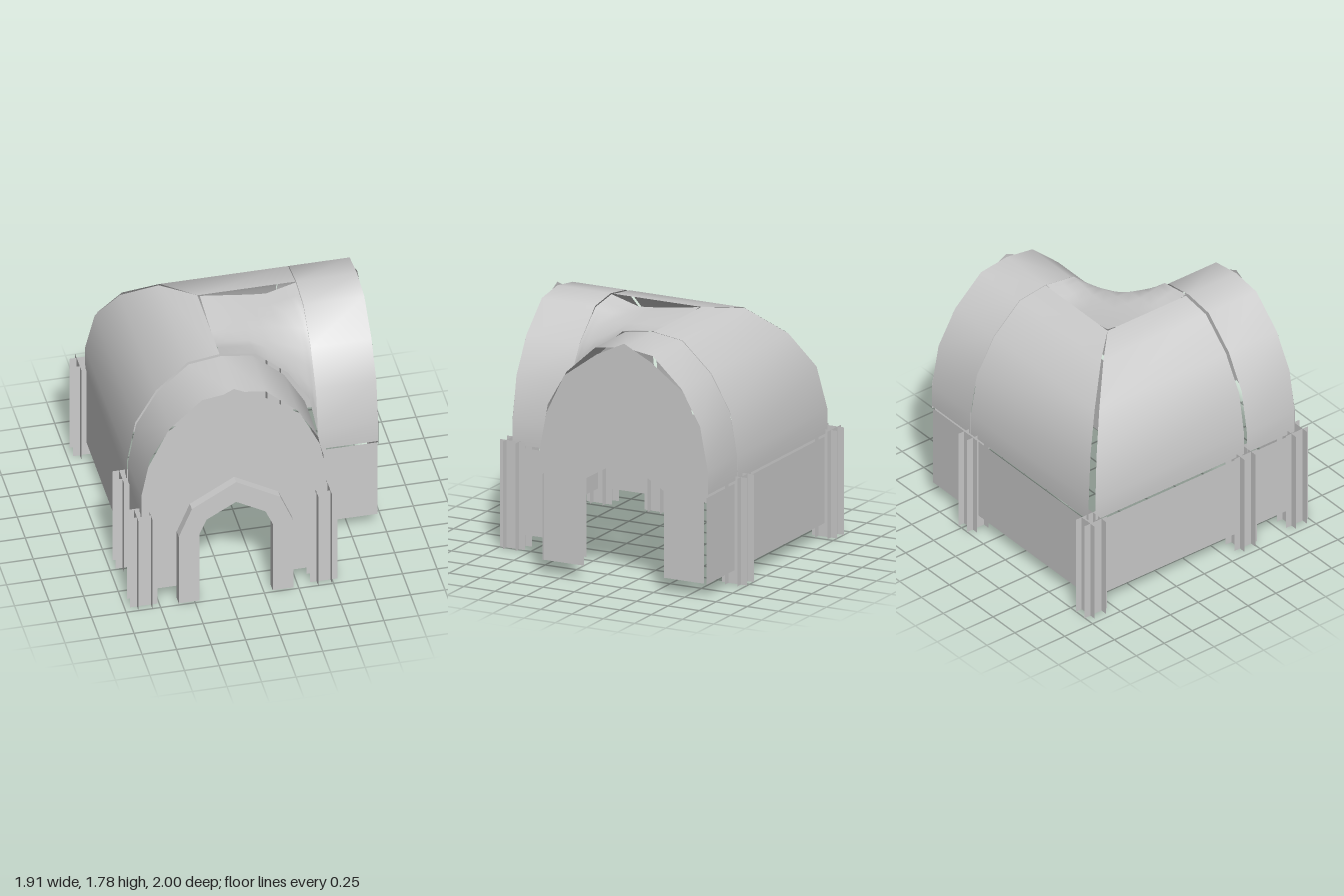
import * as THREE from 'three';

const CX = -0.2, CZ = -0.24; // ridge lines of the two wings
const FRONT = 0.912, SIDE = 0.955; // end planes of the two wings

const mat = new THREE.MeshStandardMaterial({ color: 0xcccccc, side: THREE.DoubleSide });

// half arch: distance from ridge, height
const ARCH = [[0, 1.753], [0.23, 1.72], [0.46, 1.51], [0.61, 1.25], [0.668, 0.93], [0.668, 0.76]];

function archHeight(t) {
  for (let i = 1; i < 5; i++) {
    const [a, ya] = ARCH[i - 1], [b, yb] = ARCH[i];
    if (t <= b) return ya + (yb - ya) * (t - a) / (b - a);
  }
  return ARCH[4][1];
}

// smooth open surface through a grid of points
function sheet(rows) {
  const n = rows[0].length, index = [];
  for (let i = 0; i < rows.length - 1; i++)
    for (let j = 0; j < n - 1; j++) {
      const a = i * n + j, b = a + n;
      index.push(a, b, a + 1, b, b + 1, a + 1);
    }
  const g = new THREE.BufferGeometry();
  g.setAttribute('position', new THREE.Float32BufferAttribute(rows.flat(2), 3));
  g.setIndex(index);
  g.computeVertexNormals();
  return g;
}

function mirrored(half, first = 0) {
  const left = half.map(([t, y]) => [-t, y]).reverse();
  return [...left, ...half.slice(first)];
}

const toShape = pts => pts.map(([x, y]) => new THREE.Vector2(x, y));

export function createModel() {
  const model = new THREE.Group();
  const add = (name, geometry, parent = model) => {
    const mesh = new THREE.Mesh(geometry, mat);
    mesh.name = name;
    parent.add(mesh);
    return mesh;
  };

  // full vaults over the two wing ends (winding faces outward)
  const full = mirrored(ARCH, 1);
  add('frontVault', sheet(full.map(([t, y]) => [[CX + t, y, FRONT], [CX + t, y, 0.485]]).reverse().map(r => r.reverse())));
  add('sideVault', sheet(full.map(([t, y]) => [[0.515, y, CZ + t], [SIDE, y, CZ + t]]).reverse().map(r => r.reverse())));

  // outer half vaults meeting at the mitred corner
  add('leftOuterVault', sheet(ARCH.map(([t, y]) => [[CX - t, y, CZ - 0.945 * t], [CX - t, y, 0.46]])));
  add('backOuterVault', sheet(ARCH.map(([t, y]) => [[0.51, y, CZ - t], [CX - 0.955 * t, y, CZ - t]])));

  // inner corner roof: sagging ridge edges blending down into the valley
  const steps = [0, 0.17, 0.345, 0.52, 0.69, 0.8, 0.913, 0.96, 1];
  const sag = u => 0.065 * Math.min(u / 0.67, (1 - u) / 0.33);
  add('innerCornerRoof', sheet(steps.map(u => steps.map(v => [
    -0.185 + 0.695 * u,
    archHeight(0.668 * u * v) - sag(u) * (1 - v) - sag(v) * (1 - u),
    -0.23 + 0.7 * v,
  ]).reverse())));

  // gable walls with a pointed doorway
  const gableHalf = [[0, 1.78], [0.22, 1.67], [0.48, 1.48], [0.62, 1.19], [0.67, 0.94], [0.67, 0.74],
    [0.64, 0.74], [0.64, 0.105], [0.32, 0.105], [0.32, 0.74]];
  const gable = new THREE.Shape(toShape([
    ...gableHalf, [0, 0.93],
    ...gableHalf.slice(1).reverse().map(([t, y]) => [-t, y]),
  ]));
  const gableGeo = new THREE.ShapeGeometry(gable);
  add('frontGable', gableGeo).position.set(CX, 0, FRONT);
  const side = add('sideGable', gableGeo);
  side.position.set(SIDE, 0, CZ);
  side.rotation.y = Math.PI / 2;

  // angular door surround on the front gable
  const outer = mirrored([[0, 1.005], [0.32, 0.82], [0.415, 0.59], [0.415, 0]], 1);
  const inner = mirrored([[0, 0.83], [0.212, 0.71], [0.265, 0.59], [0.265, 0]], 1);
  add('doorSurround', new THREE.ExtrudeGeometry(
    new THREE.Shape(toShape([...outer, ...inner.reverse()])),
    { depth: 0.065, bevelEnabled: false },
  )).position.set(CX, 0, FRONT + 0.005);

  // thin lower walls
  const wall = (name, x0, z0, x1, z1) =>
    add(name, sheet([[[x0, 0.1, z0], [x0, 0.735, z0]], [[x1, 0.1, z1], [x1, 0.735, z1]]]));
  wall('leftWall', -0.86, -0.9, -0.86, FRONT);
  wall('backWall', -0.86, -0.9, SIDE, -0.9);
  wall('frontWingInnerWall', 0.45, 0.44, 0.45, FRONT);
  wall('sideWingInnerWall', 0.485, 0.41, SIDE, 0.41);

  // posts made of two pairs of crossing panels
  const panel = new THREE.PlaneGeometry(0.2, 0.79);
  const spots = [[-0.86, -0.9], [-0.86, 0.44], [-0.86, 0.9], [0.44, 0.9], [0.485, 0.44], [0.485, -0.9]];
  for (const [x, z] of spots) {
    const post = new THREE.Group();
    post.name = 'post';
    post.position.set(x, 0.395, z);
    for (const d of [-0.05, 0.05]) {
      add('postPanel', panel, post).position.z = d;
      const cross = add('postCrossPanel', panel, post);
      cross.position.x = d;
      cross.rotation.y = Math.PI / 2;
    }
    model.add(post);
  }
  return model;
}
